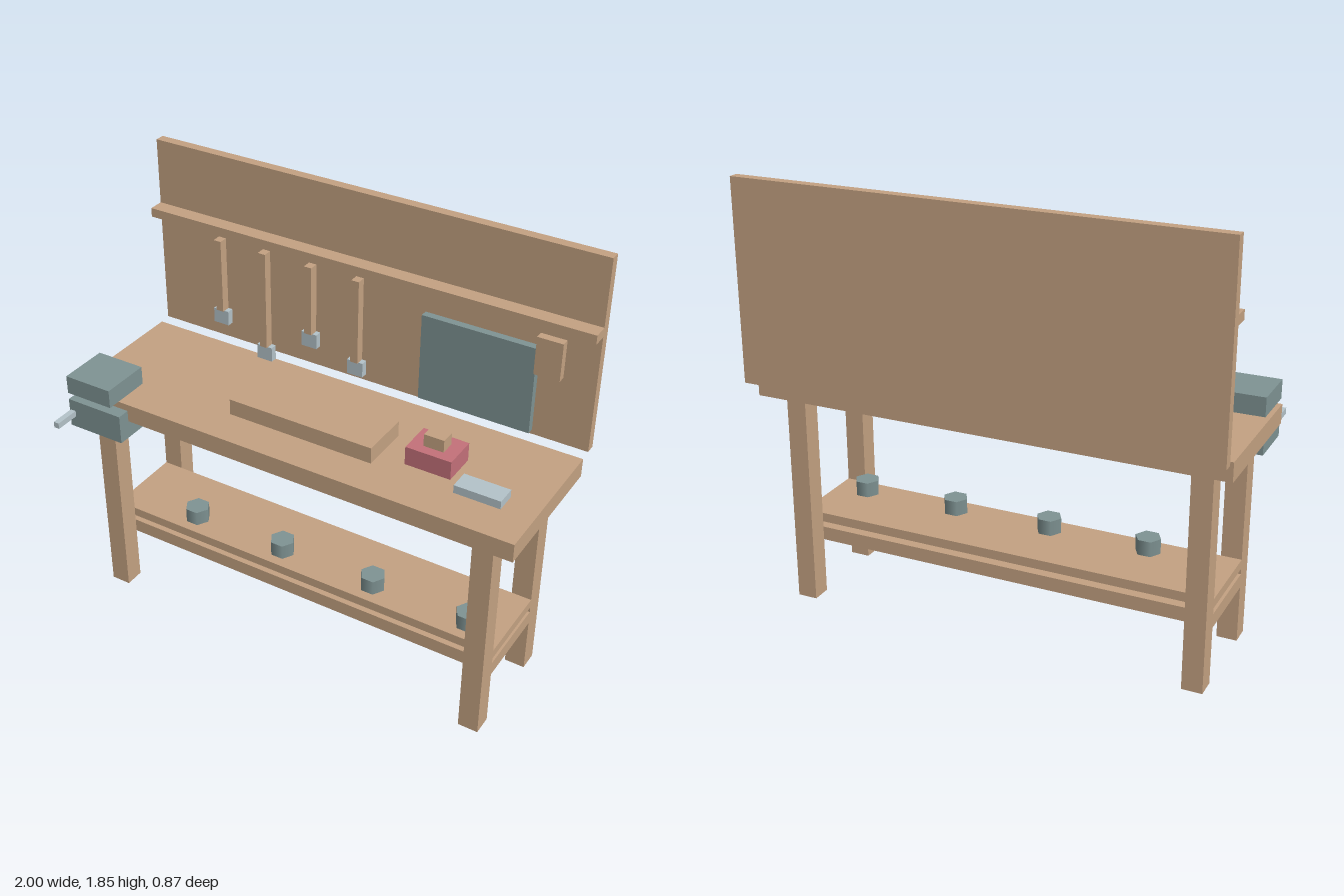
import * as THREE from 'three';

export function createModel() {
  const model = new THREE.Group();
  model.name = 'workbench';

  const material = (name, color) => {
    const m = new THREE.MeshStandardMaterial({ color });
    m.name = name;
    return m;
  };
  const wood = material('wood', 0xc4a282);
  const steel = material('dark steel', 0x7f9393);
  const metal = material('light metal', 0xb4c3c9);
  const red = material('red paint', 0xc4717a);

  // Box given by its lower and upper limits on each axis
  const box = (name, mat, [x0, x1], [y0, y1], [z0, z1], parent = model) => {
    const mesh = new THREE.Mesh(new THREE.BoxGeometry(x1 - x0, y1 - y0, z1 - z0), mat);
    mesh.position.set((x0 + x1) / 2, (y0 + y1) / 2, (z0 + z1) / 2);
    mesh.name = name;
    parent.add(mesh);
    return mesh;
  };

  // Bench frame
  box('benchTop', wood, [-1, 1], [0.93, 1.01], [-0.345, 0.27]);
  for (const x of [-0.868, 0.868]) {
    for (const [z0, z1] of [[0.155, 0.24], [-0.28, -0.195]]) {
      box('leg', wood, [x - 0.043, x + 0.043], [0, 0.93], [z0, z1]);
    }
  }
  box('shelf', wood, [-0.911, 0.911], [0.33, 0.37], [-0.195, 0.155]);
  box('lowerStretcher', wood, [-0.911, 0.911], [0.245, 0.305], [-0.195, 0.155]);

  // Six-sided cans on the shelf
  const canGeometry = new THREE.CylinderGeometry(0.054, 0.054, 0.065, 6).rotateY(Math.PI / 6);
  for (let i = 0; i < 4; i++) {
    const can = new THREE.Mesh(canGeometry, steel);
    can.position.set(-0.547 + i * 0.435, 0.4025, 0.066);
    can.name = 'can';
    model.add(can);
  }

  // Back board with tool rail
  box('backBoard', wood, [-1, 1], [1.015, 1.85], [-0.434, -0.392]);
  box('toolRail', wood, [-1, 1], [1.528, 1.567], [-0.392, -0.326]);

  // Hanging hand tools, by centre and lower end of the handle
  for (const [x, y] of [[-0.64, 1.2], [-0.424, 1.09], [-0.205, 1.22], [0.013, 1.155]]) {
    const tool = new THREE.Group();
    tool.name = 'hangingTool';
    box('toolHandle', wood, [x - 0.017, x + 0.017], [y, 1.526], [-0.326, -0.287], tool);
    box('toolHead', metal, [x - 0.036, x + 0.036], [y - 0.065, y], [-0.326, -0.296], tool);
    model.add(tool);
  }

  // Saw on the board
  box('sawBlade', steel, [0.273, 0.762], [1.035, 1.418], [-0.392, -0.36]);
  box('sawHandle', wood, [0.758, 0.866], [1.308, 1.472], [-0.392, -0.357]);

  // Vise on the front corner
  box('viseUpperJaw', steel, [-0.98, -0.763], [1.01, 1.09], [0.108, 0.325]);
  box('viseLowerJaw', steel, [-0.98, -0.72], [0.853, 0.98], [0.108, 0.325]);
  box('viseBar', metal, [-0.975, -0.95], [0.905, 0.931], [0.325, 0.434]);

  // Items on the bench
  box('plank', wood, [-0.326, 0.322], [1.01, 1.08], [-0.11, 0.107]);
  box('planeBody', red, [0.433, 0.628], [1.01, 1.09], [-0.107, 0.042]);
  box('planeKnob', wood, [0.488, 0.574], [1.09, 1.143], [-0.063, 0]);
  box('metalPlate', metal, [0.674, 0.868], [1.01, 1.045], [0.022, 0.108]);

  return model;
}
